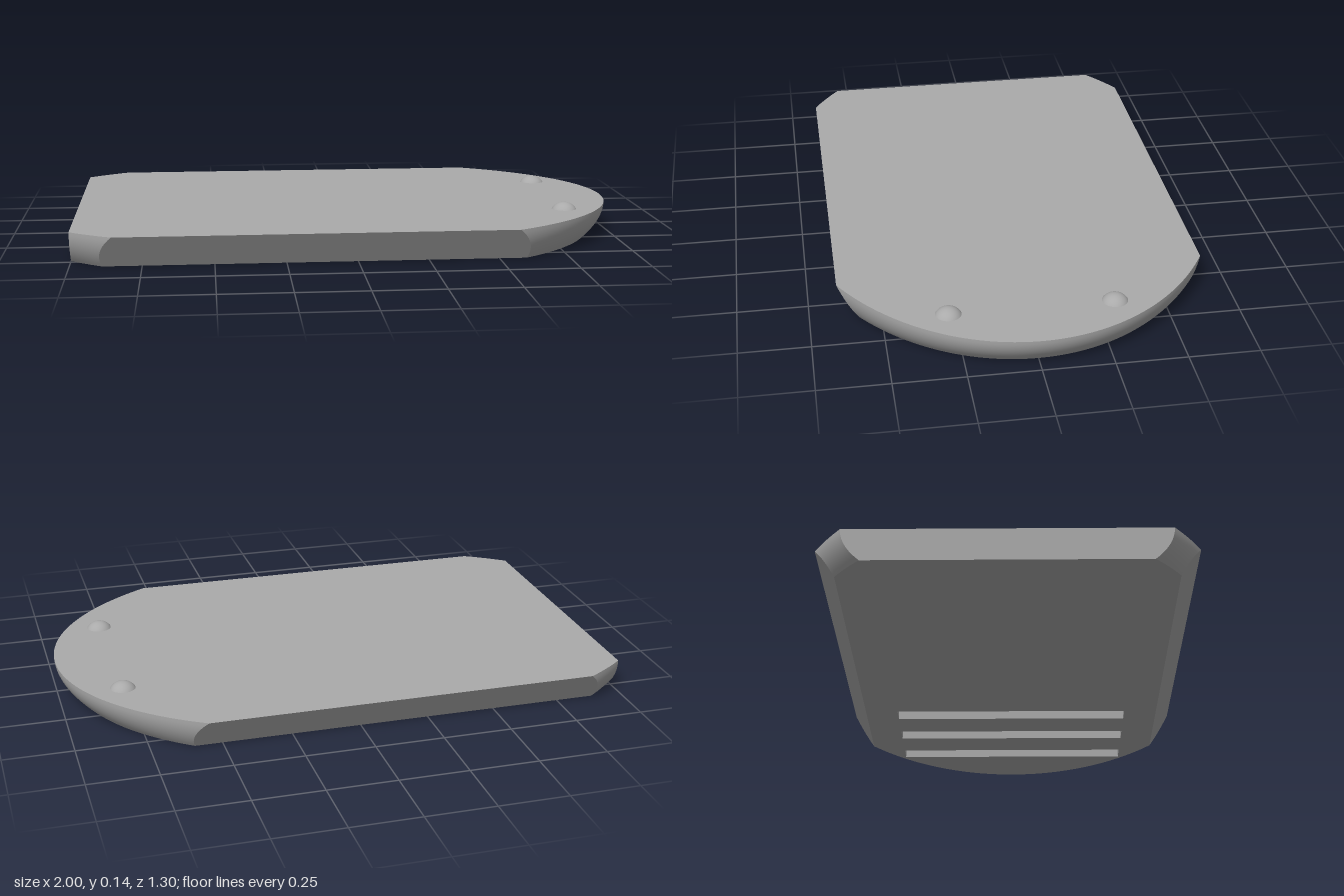
import * as THREE from 'three';
import { toCreasedNormals } from 'three/addons/utils/BufferGeometryUtils.js';

const HEIGHT = 0.117;     // thickness of the plate
const CENTRE = -0.145;    // x of the ellipse that rounds the ends
const RINGS = 10;
const GROOVE_DEPTH = 0.04;

// Plate outline at height t (0 = underside, 1 = top): an ellipse trimmed by two sides and a flat end.
function outline(t) {
  const bulge = 1 - (1 - t) ** 2;
  const a = 1.075 + 0.07 * bulge;
  const b = 0.795 + 0.03 * bulge;
  const side = Math.asin((0.575 + 0.075 * t) / b);
  const end = Math.acos((-1 - CENTRE) / a);
  const points = [];
  const arc = (from, to, steps) => {
    for (let i = 0; i <= steps; i++) {
      const angle = from + (to - from) * i / steps;
      points.push(new THREE.Vector2(CENTRE + a * Math.cos(angle), b * Math.sin(angle)));
    }
  };
  arc(-side, side, 64);
  arc(Math.PI - side, end, 8);
  arc(-end, side - Math.PI, 8);
  return points;
}

// Sloping rim, lofted through the outlines
function rimGeometry() {
  const positions = [], index = [];
  const count = outline(0).length;
  for (let r = 0; r <= RINGS; r++) {
    const t = r / RINGS;
    for (const p of outline(t)) positions.push(p.x, t * HEIGHT, p.y);
  }
  for (let r = 0; r < RINGS; r++) {
    for (let i = 0; i < count; i++) {
      const j = (i + 1) % count;
      const p = r * count + i, q = r * count + j;
      index.push(p, p + count, q, q, p + count, q + count);
    }
  }
  const geometry = new THREE.BufferGeometry();
  geometry.setAttribute('position', new THREE.Float32BufferAttribute(positions, 3));
  geometry.setIndex(index);
  return toCreasedNormals(geometry, 0.25);
}

// Inside of a groove: a box without its lower face, turned inside out
function grooveGeometry(width, length) {
  const box = new THREE.BoxGeometry(width, GROOVE_DEPTH, length);
  const faces = Array.from(box.index.array);
  faces.splice(18, 6);
  box.setIndex(faces.reverse());
  box.clearGroups();
  const normals = box.attributes.normal.array;
  for (let i = 0; i < normals.length; i++) normals[i] *= -1;
  return box;
}

export function createModel() {
  const model = new THREE.Group();
  const grey = new THREE.MeshStandardMaterial({ color: 0xaaaaaa });
  grey.name = 'grey';

  const add = (name, geometry, x = 0, y = 0, z = 0) => {
    const mesh = new THREE.Mesh(geometry, grey);
    mesh.name = name;
    mesh.position.set(x, y, z);
    model.add(mesh);
  };

  add('rim', rimGeometry());

  // Flat top
  const top = new THREE.ShapeGeometry(new THREE.Shape(outline(1)));
  add('topFace', top.rotateX(-Math.PI / 2), 0, HEIGHT, 0);

  // Underside with three cross grooves
  const under = new THREE.Shape(outline(0));
  const width = 0.075, half = 0.45;
  for (const x of [0.272, 0.477, 0.682]) {
    const l = x - width / 2, r = x + width / 2;
    under.holes.push(new THREE.Path([
      new THREE.Vector2(l, -half), new THREE.Vector2(l, half),
      new THREE.Vector2(r, half), new THREE.Vector2(r, -half),
    ]));
    add('groove', grooveGeometry(width, half * 2), x, GROOVE_DEPTH / 2, 0);
  }
  add('underside', new THREE.ShapeGeometry(under).rotateX(Math.PI / 2));

  // Two round studs near the curved end
  for (const side of [-1, 1]) {
    const dome = new THREE.SphereGeometry(0.053, 32, 16, 0, Math.PI * 2, 0, Math.PI / 2);
    add(side > 0 ? 'frontStud' : 'backStud', dome, 0.795, 0.089, side * 0.287);
  }
  return model;
}
